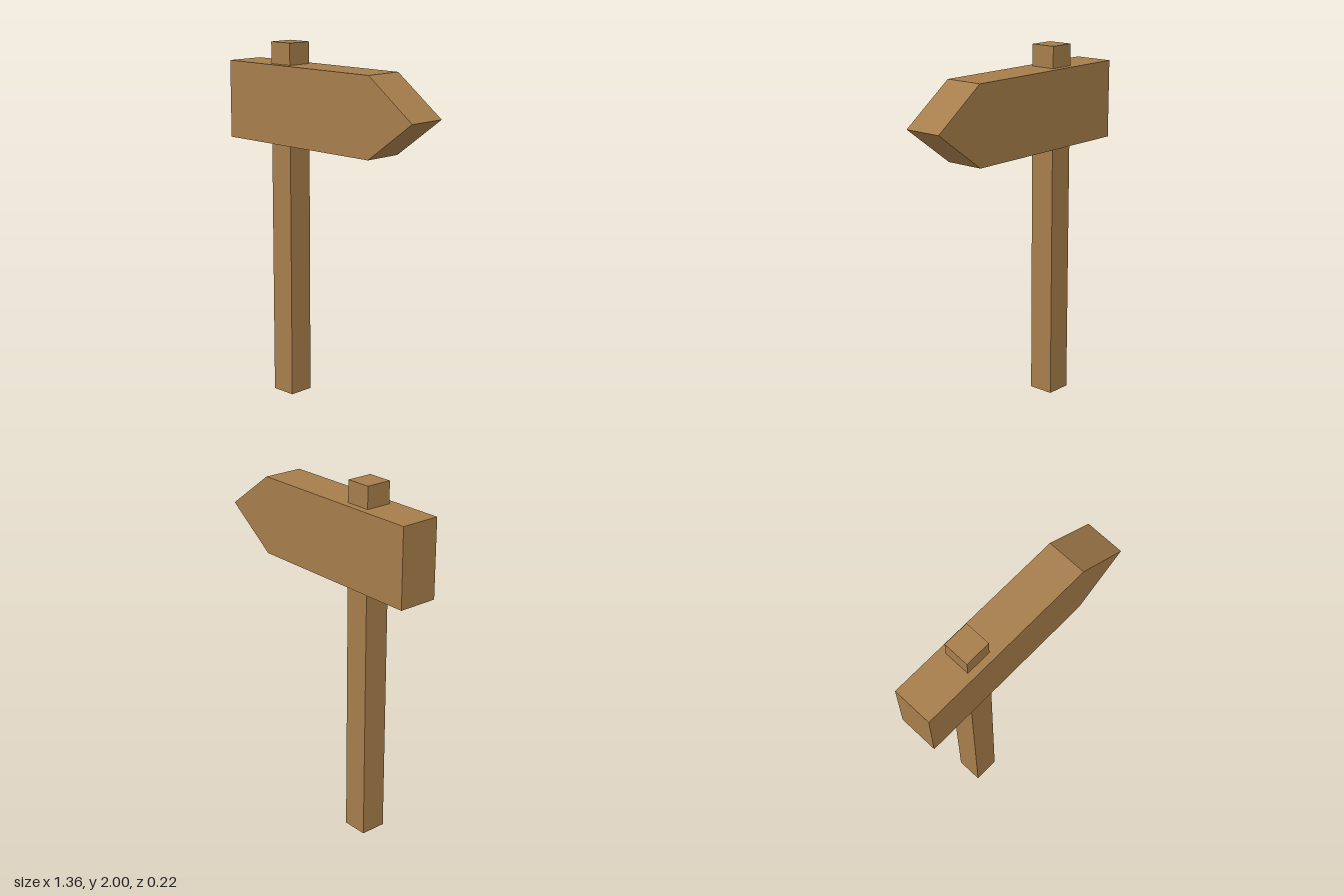
import * as THREE from 'three';

export function createModel() {
  const model = new THREE.Group();
  const wood = new THREE.MeshStandardMaterial({ color: 0xa67d4b });
  wood.name = 'wood';

  // Square upright, running through the board
  const post = new THREE.Mesh(new THREE.BoxGeometry(0.146, 2, 0.146), wood);
  post.name = 'post';
  post.position.set(-0.308, 1, 0);
  model.add(post);

  // Arrow-shaped board: pentagon outline extruded along z
  const left = -0.68, shoulder = 0.383, tip = 0.68;
  const bottom = 1.446, top = 1.88, depth = 0.224;
  const outline = new THREE.Shape([
    new THREE.Vector2(left, bottom),
    new THREE.Vector2(shoulder, bottom),
    new THREE.Vector2(tip, (bottom + top) / 2),
    new THREE.Vector2(shoulder, top),
    new THREE.Vector2(left, top),
  ]);
  const boardGeometry = new THREE.ExtrudeGeometry(outline, { depth, bevelEnabled: false });
  boardGeometry.translate(0, 0, -depth / 2);
  const board = new THREE.Mesh(boardGeometry, wood);
  board.name = 'arrowBoard';
  model.add(board);

  return model;
}
